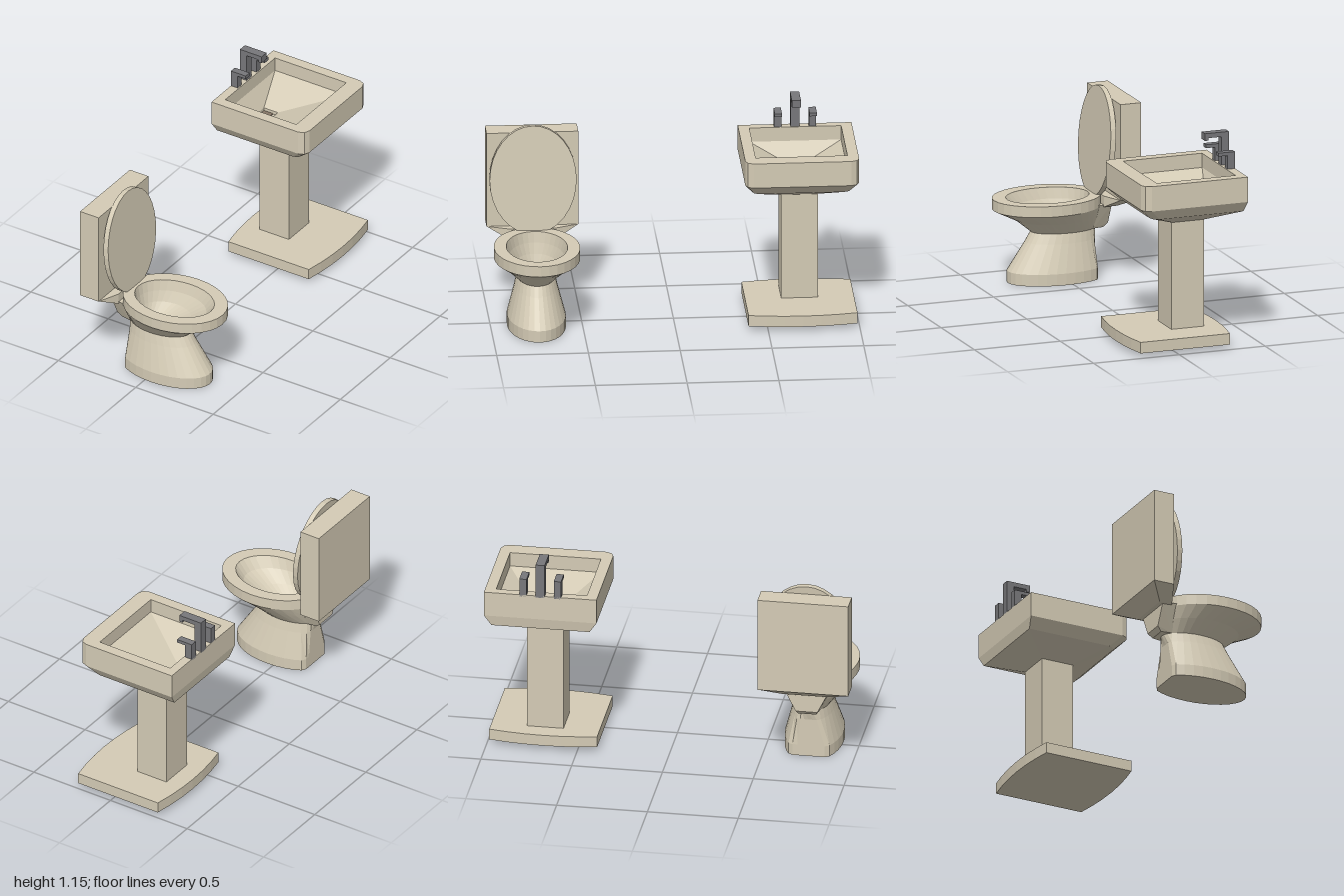
import * as THREE from 'three';
import { ConvexGeometry } from 'three/addons/geometries/ConvexGeometry.js';

const SIDES = 32;

// Skins a stack of closed rings [[x, y, z], ...] and caps both ends; facets stay flat.
function loft(rings) {
  const pos = [];
  const tri = (a, b, c) => pos.push(...a, ...b, ...c);
  const centre = ring => [0, 1, 2].map(k => ring.reduce((s, p) => s + p[k], 0) / ring.length);
  const n = rings[0].length;
  for (let i = 0; i < rings.length - 1; i++) {
    for (let j = 0; j < n; j++) {
      const k = (j + 1) % n;
      const a = rings[i][j], b = rings[i][k], c = rings[i + 1][k], d = rings[i + 1][j];
      tri(a, d, c);
      tri(a, c, b);
    }
  }
  const first = rings[0], last = rings[rings.length - 1];
  const c0 = centre(first), c1 = centre(last);
  for (let j = 0; j < n; j++) {
    const k = (j + 1) % n;
    tri(c0, first[j], first[k]);
    tri(c1, last[k], last[j]);
  }
  const g = new THREE.BufferGeometry();
  g.setAttribute('position', new THREE.Float32BufferAttribute(pos, 3));
  g.computeVertexNormals();
  return g;
}

// Ellipse in the ground plane, cut flat at xMin
function oval(y, cx, a, b, xMin = -Infinity) {
  return Array.from({ length: SIDES }, (_, i) => {
    const t = (i / SIDES) * Math.PI * 2;
    return [Math.max(xMin, cx + a * Math.cos(t)), y, b * Math.sin(t)];
  });
}

// Rectangle with the two +x corners rounded
function basinRing(y, x0, x1, h, r) {
  const side = [[x0, h], [x1 - r, h], [x1 - 0.3 * r, h - 0.3 * r], [x1, h - r]];
  return [
    ...side.map(([x, z]) => [x, y, -z]),
    ...side.slice().reverse().map(([x, z]) => [x, y, z]),
  ];
}

// Rectangle whose two x ends bulge outward
function bulgedRing(y, cx, half, bulge, h) {
  const ring = [];
  for (const s of [1, -1]) {
    for (let i = 0; i <= 6; i++) {
      const u = -1 + i / 3;
      ring.push([cx + s * (half + bulge * (1 - u * u)), y, s * u * h]);
    }
  }
  return ring;
}

// Convex block from points mirrored across z
function mirroredHull(points) {
  const all = points.flatMap(([x, y, z]) => [new THREE.Vector3(x, y, z), new THREE.Vector3(x, y, -z)]);
  return new ConvexGeometry(all);
}

export function createModel() {
  const ceramic = new THREE.MeshStandardMaterial({ color: 0xd4cbb5 });
  const metal = new THREE.MeshStandardMaterial({ color: 0x77777a });
  const drainDark = new THREE.MeshStandardMaterial({ color: 0x857666 });
  ceramic.name = 'ceramic';
  metal.name = 'metal';
  drainDark.name = 'drainDark';

  const add = (parent, name, geometry, material) => {
    const mesh = new THREE.Mesh(geometry, material);
    mesh.name = name;
    parent.add(mesh);
    return mesh;
  };
  // Box given by its extents
  const box = (parent, name, material, x0, x1, y0, y1, z0, z1) => {
    const m = add(parent, name, new THREE.BoxGeometry(x1 - x0, y1 - y0, z1 - z0), material);
    m.position.set((x0 + x1) / 2, (y0 + y1) / 2, (z0 + z1) / 2);
    return m;
  };

  // ---- Wash basin ----
  const sink = new THREE.Group();
  sink.name = 'sink';
  sink.position.z = -0.69;

  add(sink, 'sinkFoot', loft([
    bulgedRing(0.025, -0.04, 0.26, 0.03, 0.297),
    bulgedRing(0.087, -0.04, 0.26, 0.03, 0.297),
  ]), ceramic);
  box(sink, 'sinkColumn', ceramic, -0.225, -0.035, 0.085, 0.7, -0.1, 0.1);
  add(sink, 'basin', loft([
    basinRing(0.687, -0.225, -0.035, 0.1, 0.01),
    basinRing(0.76, -0.39, 0.14, 0.27, 0.04),
    basinRing(0.82, -0.4, 0.205, 0.31, 0.045),
    basinRing(0.96, -0.4, 0.205, 0.31, 0.045),
    basinRing(0.96, -0.35, 0.11, 0.25, 0.001),
    basinRing(0.88, -0.35, 0.11, 0.25, 0.001),
    basinRing(0.77, -0.29, -0.2, 0.045, 0.001),
    basinRing(0.75, -0.29, -0.2, 0.045, 0.001),
  ]), ceramic);
  box(sink, 'drain', drainDark, -0.289, -0.23, 0.748, 0.754, -0.044, 0.044);

  // Spout and the two tap handles
  box(sink, 'spoutPost', metal, -0.4, -0.357, 0.95, 1.12, -0.025, 0.025);
  box(sink, 'spoutArm', metal, -0.4, -0.26, 1.12, 1.146, -0.025, 0.025);
  box(sink, 'spoutNose', metal, -0.28, -0.26, 1.106, 1.12, -0.025, 0.025);
  for (const z of [-0.095, 0.095]) {
    box(sink, 'tapPost', metal, -0.4, -0.357, 0.95, 1.036, z - 0.02, z + 0.02);
    box(sink, 'tapHandle', metal, -0.4, -0.305, 1.036, 1.055, z - 0.02, z + 0.02);
  }

  // ---- Toilet ----
  const toilet = new THREE.Group();
  toilet.name = 'toilet';
  toilet.position.z = 0.75;

  add(toilet, 'pedestal', loft([
    oval(0, 0.041, 0.279, 0.16, -0.17),
    oval(0.065, 0.041, 0.279, 0.16, -0.17),
    oval(0.275, 0, 0.185, 0.105, -0.185),
  ].slice(0, 2).concat([oval(0.22, 0.012, 0.205, 0.118, -0.17), oval(0.275, 0, 0.185, 0.105)])), ceramic);
  // Outer shell, rim, then down the inside to the outlet
  add(toilet, 'bowl', loft([
    oval(0.275, 0, 0.185, 0.105),
    oval(0.345, 0.035, 0.235, 0.17),
    oval(0.41, 0.095, 0.305, 0.235, -0.19),
    oval(0.47, 0.095, 0.305, 0.235, -0.19),
    oval(0.47, 0.09, 0.235, 0.167),
    oval(0.41, 0.07, 0.205, 0.148),
    oval(0.35, 0.03, 0.15, 0.115),
    oval(0.3, -0.01, 0.095, 0.07),
    oval(0.285, -0.035, 0.055, 0.04),
    oval(0.278, -0.035, 0.055, 0.04),
  ]), ceramic);
  // Neck and ledge joining the bowl to the tank
  add(toilet, 'neck', mirroredHull([
    [-0.24, 0.42, 0.12], [-0.24, 0.3, 0.06], [-0.215, 0.275, 0.05],
    [-0.155, 0.42, 0.13], [-0.155, 0.275, 0.06],
  ]), ceramic);
  add(toilet, 'tankLedge', mirroredHull([
    [-0.36, 0.471, 0.25], [-0.24, 0.471, 0.25], [-0.265, 0.41, 0.13],
    [-0.19, 0.471, 0.13], [-0.19, 0.41, 0.13],
  ]), ceramic);
  box(toilet, 'tank', ceramic, -0.36, -0.24, 0.47, 1.01, -0.25, 0.25);

  // Raised lid leaning back against the tank
  const lid = add(toilet, 'lid', loft([
    oval(0, 0.285, 0.305, 0.237, 0),
    oval(0.03, 0.285, 0.305, 0.237, 0),
  ]), ceramic);
  lid.rotation.z = Math.PI / 2 + 0.087;
  lid.position.set(-0.16, 0.47, 0);

  const model = new THREE.Group();
  model.name = 'bathroomSet';
  model.add(sink, toilet);
  return model;
}
